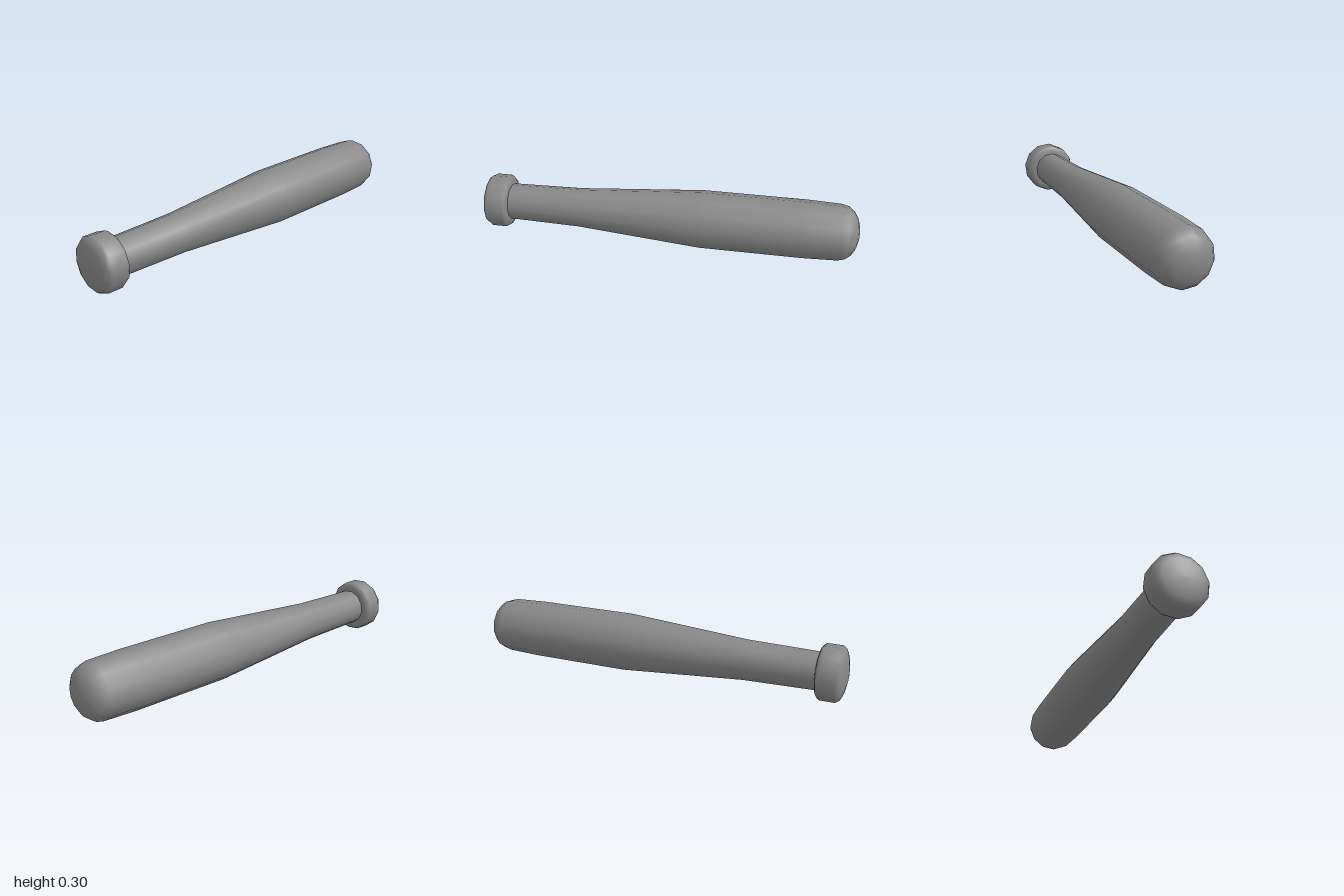
import * as THREE from 'three';

const SIDES = 12;
const AXIS_Y = 0.153;

// Turned part along x; profile is a list of [x, radius] from -x to +x
function turned(name, profile, material) {
  const points = profile.map(([x, r]) => new THREE.Vector2(r, x));
  const geometry = new THREE.LatheGeometry(points, SIDES, THREE.MathUtils.degToRad(-7.5));
  geometry.rotateZ(-Math.PI / 2);
  const mesh = new THREE.Mesh(geometry, material);
  mesh.name = name;
  mesh.position.y = AXIS_Y;
  return mesh;
}

export function createModel() {
  const group = new THREE.Group();
  group.name = 'bat';
  const material = new THREE.MeshStandardMaterial({ color: 0x888888 });

  // Knob with a gently domed end and rounded rim
  group.add(turned('knob', [
    [-1, 0], [-0.998, 0.05], [-0.988, 0.1], [-0.977, 0.128], [-0.957, 0.142],
    [-0.88, 0.142], [-0.866, 0.134], [-0.858, 0.115], [-0.857, 0.09],
  ], material));

  // Handle swelling into the barrel, closed by a domed tip
  group.add(turned('handleAndBarrel', [
    [-0.87, 0.096], [-0.48, 0.104], [0.18, 0.153], [0.72, 0.153], [0.9, 0.147],
    [0.935, 0.138], [0.965, 0.115], [0.985, 0.083], [0.997, 0.04], [1, 0],
  ], material));

  return group;
}
